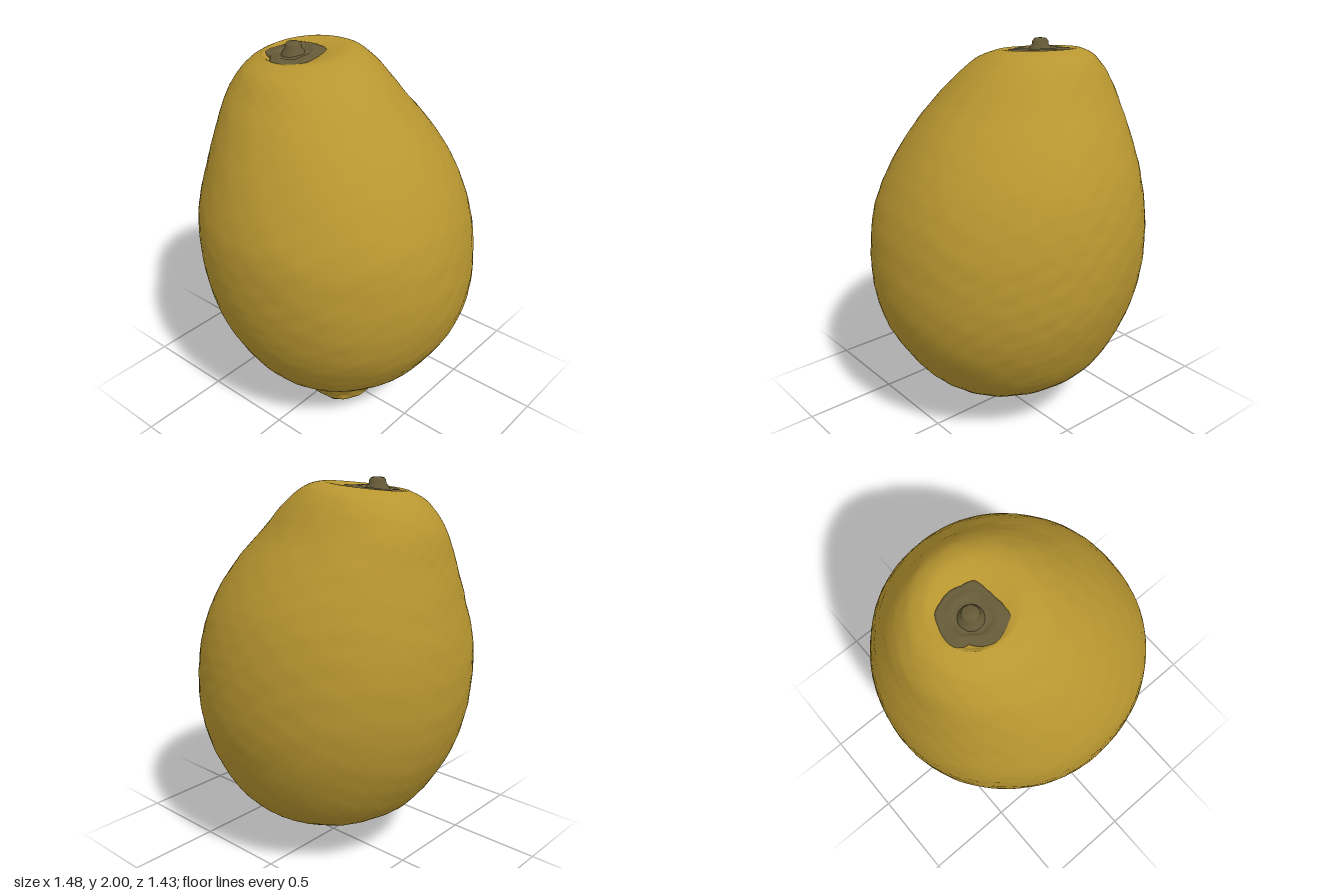
import * as THREE from 'three';

const SEG = 128;
const STEM = { x: -0.25, z: 0.04 };

// Height, then left/right and back/front limits of each cross-section
const SECTIONS = [
  [0.0, 0.1, 0.11, 0.145, 0.155],
  [0.008, 0.07, 0.15, 0.09, 0.18],
  [0.04, 0.03, 0.2, 0.02, 0.2],
  [0.085, 0.0, 0.265, -0.06, 0.24],
  [0.135, -0.12, 0.305, -0.14, 0.285],
  [0.2, -0.3, 0.37, -0.33, 0.35],
  [0.3, -0.46, 0.495, -0.47, 0.47],
  [0.42, -0.56, 0.59, -0.57, 0.56],
  [0.6, -0.66, 0.69, -0.65, 0.65],
  [0.8, -0.72, 0.735, -0.7, 0.7],
  [1.0, -0.74, 0.73, -0.71, 0.715],
  [1.2, -0.73, 0.69, -0.69, 0.7],
  [1.4, -0.69, 0.6, -0.635, 0.63],
  [1.6, -0.64, 0.46, -0.53, 0.53],
  [1.78, -0.59, 0.285, -0.4, 0.415],
  [1.9, -0.51, 0.13, -0.3, 0.325],
  [1.947, -0.43, 0.03, -0.22, 0.22],
  [1.948, -0.4, -0.05, -0.15, 0.19],
  [1.93, -0.36, -0.14, -0.07, 0.15],
  [1.925, -0.251, -0.249, 0.039, 0.041],
];

// The crown leans slightly down towards the front
const lean = (x, y, z) =>
  THREE.MathUtils.smoothstep(y, 1.7, 1.93) * (0.05 * (x - STEM.x) - 0.1 * (z - STEM.z));

// Soft dimples in the peel
const peel = (x, y, z) =>
  Math.sin(9 * x + 4 * y) * Math.sin(8 * z - 5 * y + 1) * 0.4 +
  Math.sin(31 * x + 17 * z) * Math.sin(37 * y + 13 * z) * 0.25 +
  Math.sin(53 * z - 29 * x) * Math.sin(61 * y + 23 * x) * 0.2;

// Smooth closed rings joined into a skin; point(row, angle) gives each vertex
function skin(rows, point) {
  const pos = [], index = [];
  for (let r = 0; r <= rows; r++) {
    for (let s = 0; s < SEG; s++) {
      pos.push(...point(r / rows, (s / SEG) * Math.PI * 2));
      if (r === rows) continue;
      const a = r * SEG + s, b = r * SEG + ((s + 1) % SEG);
      index.push(a, a + SEG, b, b, a + SEG, b + SEG);
    }
  }
  const geo = new THREE.BufferGeometry();
  geo.setAttribute('position', new THREE.Float32BufferAttribute(pos, 3));
  geo.setIndex(index);
  geo.computeVertexNormals();
  return geo;
}

function fruitGeometry() {
  const spline = (f) => new THREE.CatmullRomCurve3(SECTIONS.map(f), false, 'catmullrom', 0.5);
  const centres = spline(([y, l, r, b, f]) => new THREE.Vector3((l + r) / 2, y, (b + f) / 2));
  const radii = spline(([, l, r, b, f]) => new THREE.Vector3((r - l) / 2, 0, (f - b) / 2));
  return skin(152, (t, a) => {
    const c = centres.getPoint(t), q = radii.getPoint(t);
    const x = c.x + q.x * Math.cos(a), z = c.z + q.z * Math.sin(a);
    // Rougher around the nipple, fading out at both tips
    const rough = 0.006 + 0.012 * (1 - THREE.MathUtils.smoothstep(c.y, 0.1, 0.4));
    const k = 1 + peel(x, c.y, z) * rough * Math.min(1, q.x * 8) / Math.max(q.x, 0.15);
    return [
      c.x + (x - c.x) * k,
      Math.max(0, c.y + lean(x, c.y, z)),
      c.z + (z - c.z) * k,
    ];
  });
}

// Ragged outline of the calyx, as radii at equal steps from +x towards +z
const RAGGED = [0.14, 0.155, 0.19, 0.165, 0.16, 0.13, 0.115, 0.165, 0.155, 0.15, 0.16, 0.15, 0.155, 0.15, 0.17, 0.145];

// Calyx profile: share of the outline radius and height
const CALYX = [[1, 1.915], [0.97, 1.94], [0.8, 1.947], [0.62, 1.95], [0.5, 1.942], [0.36, 1.945], [0.3, 1.955]];

function calyxGeometry() {
  const profile = new THREE.CatmullRomCurve3(CALYX.map(([r, y]) => new THREE.Vector3(r, y, 0)));
  return skin(24, (t, a) => {
    const p = profile.getPoint(t);
    const u = (a / (Math.PI * 2)) * RAGGED.length, i = Math.floor(u);
    const edge = THREE.MathUtils.lerp(RAGGED[i], RAGGED[(i + 1) % RAGGED.length], u - i);
    const r = p.x * THREE.MathUtils.lerp(0.15, edge, p.x);
    const x = STEM.x + r * Math.cos(a), z = STEM.z + r * Math.sin(a);
    return [x, p.y + lean(x, p.y, z) + 0.003 * Math.sin(5 * a) * p.x, z];
  });
}

export function createModel() {
  const lemonYellow = new THREE.MeshStandardMaterial({ color: 0xb89630 });
  const stemBrown = new THREE.MeshStandardMaterial({ color: 0x655a38 });
  const group = new THREE.Group();
  group.name = 'lemon';
  const add = (name, geo, mat) => {
    const mesh = new THREE.Mesh(geo, mat);
    mesh.name = name;
    group.add(mesh);
    return mesh;
  };

  add('fruit', fruitGeometry(), lemonYellow);
  add('calyx', calyxGeometry(), stemBrown);

  // Short stem stub with a rounded tip
  const stub = [[0.062, 1.935], [0.055, 1.955], [0.043, 1.968], [0.041, 1.985], [0.032, 1.997], [0.0, 2.0]];
  const stem = add('stem', new THREE.LatheGeometry(stub.map(([r, y]) => new THREE.Vector2(r, y)), 24), stemBrown);
  stem.position.set(STEM.x, 0, STEM.z);
  return group;
}
